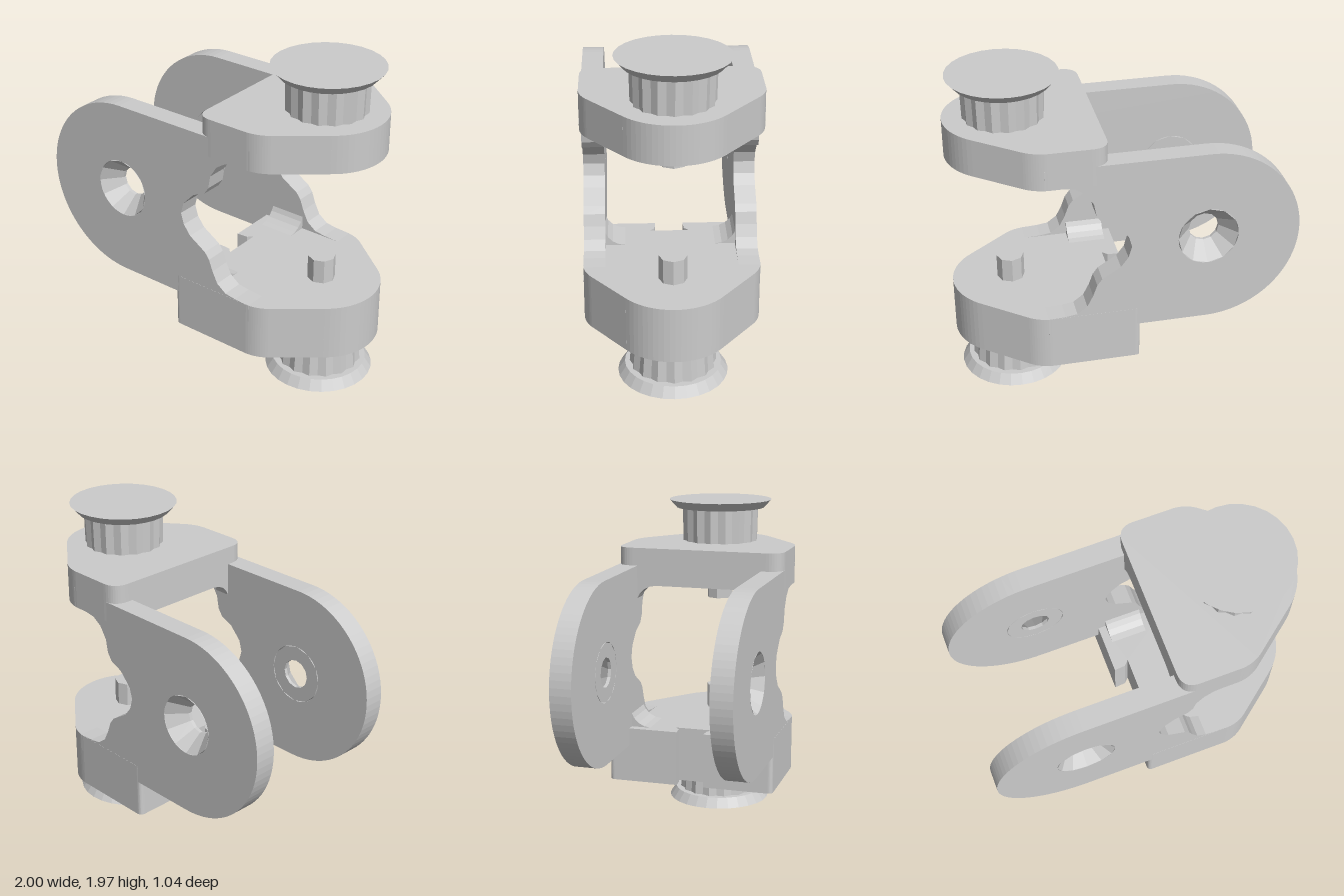
import * as THREE from 'three';

const material = new THREE.MeshStandardMaterial({ color: 0xcccccc, flatShading: true });
const KNOB_X = 0.645, HOLE_X = -0.45, HOLE_Y = 1.06;
const OUTER = 0.519, INNER = 0.39;

function addMesh(parent, name, geometry) {
  const mesh = new THREE.Mesh(geometry, material);
  mesh.name = name;
  parent.add(mesh);
  return mesh;
}

function extrude(shape, depth, curveSegments = 10) {
  return new THREE.ExtrudeGeometry(shape, { depth, bevelEnabled: false, curveSegments });
}

// Side plate: round rear end, scalloped front edge and a round hole
function plateShape() {
  const s = new THREE.Shape();
  s.moveTo(0.5, 1.6);
  s.lineTo(-0.45, 1.6);
  s.absarc(-0.45, 1.05, 0.55, Math.PI / 2, Math.PI * 1.5, false);
  s.lineTo(0.5, 0.5);
  const edge = [
    [0.5, 0.61], [0.4, 0.615], [0.33, 0.625], [0.27, 0.67], [0.235, 0.74], [0.21, 0.81],
    [0.18, 0.85], [0.07, 0.92], [0.025, 0.98], [0.005, 1.05], [0.025, 1.12], [0.1, 1.2],
    [0.18, 1.235], [0.21, 1.28], [0.225, 1.36], [0.27, 1.43], [0.33, 1.47], [0.4, 1.48], [0.5, 1.48]
  ];
  edge.forEach(([x, y]) => s.lineTo(x, y));
  s.closePath();
  const hole = new THREE.Path();
  hole.absarc(HOLE_X, HOLE_Y, 0.18, 0, Math.PI * 2, true);
  s.holes.push(hole);
  return s;
}

// Bracket outline seen from above, tapering to a rounded nose
function bracketShape(back, notched) {
  const s = new THREE.Shape();
  const r = notched ? 0.03 : 0.1;
  s.moveTo(back + r, -0.52);
  s.lineTo(0.48, -0.52);
  s.quadraticCurveTo(0.56, -0.515, 0.62, -0.465);
  s.lineTo(0.862, -0.275);
  s.absarc(0.655, 0, 0.344, -0.925, 0.925, false);
  s.lineTo(0.62, 0.465);
  s.quadraticCurveTo(0.56, 0.515, 0.48, 0.52);
  s.lineTo(back + r, 0.52);
  s.quadraticCurveTo(back, 0.52, back, 0.52 - r);
  if (notched) {
    [[back, 0.085], [0.02, 0.09], [0.05, 0.12], [0.05, -0.12], [0.02, -0.09], [back, -0.085]]
      .forEach(([x, z]) => s.lineTo(x, z));
  }
  s.lineTo(back, r - 0.52);
  s.quadraticCurveTo(back, -0.52, back + r, -0.52);
  return s;
}

function addBracket(parent, name, back, y0, y1, notched) {
  const g = extrude(bracketShape(back, notched), y1 - y0);
  g.rotateX(-Math.PI / 2);
  addMesh(parent, name, g).position.y = y0;
}

// Grip with shallow flutes, from y0 to y1
function grip(y0, y1, rTop, rBottom) {
  const g = new THREE.CylinderGeometry(rTop, rBottom, y1 - y0, 32, 1);
  const p = g.attributes.position;
  for (let i = 0; i < p.count; i++) {
    const a = Math.atan2(p.getZ(i), p.getX(i));
    const k = 1 + 0.03 * Math.cos(16 * a);
    p.setX(i, p.getX(i) * k);
    p.setZ(i, p.getZ(i) * k);
  }
  g.translate(0, (y0 + y1) / 2, 0);
  return g;
}

function disc(y0, y1, rTop, rBottom, sides) {
  return new THREE.CylinderGeometry(rTop, rBottom, y1 - y0, sides).translate(0, (y0 + y1) / 2, 0);
}

// Concave fillet in the corner between a side plate and a bracket
function addFillet(parent, side, y, up, x0, x1) {
  const s = new THREE.Shape();
  const zc = side * (INNER + 0.01), r = 0.13;
  s.moveTo(-zc, y - up * 0.01);
  s.lineTo(-zc + side * r, y - up * 0.01);
  for (let i = 0; i <= 5; i++) {
    const a = (i / 5) * Math.PI / 2;
    s.lineTo(-zc + side * r * (1 - Math.sin(a)), y + up * r * (1 - Math.cos(a)));
  }
  s.closePath();
  const g = extrude(s, x1 - x0);
  g.rotateY(Math.PI / 2);
  addMesh(parent, 'cornerFillet', g).position.x = x0;
}

export function createModel() {
  const model = new THREE.Group();
  model.name = 'clevisBracket';

  // Mirrored side plates with a countersunk hole
  const shape = plateShape();
  for (const side of [1, -1]) {
    const plate = new THREE.Group();
    plate.name = side > 0 ? 'frontPlate' : 'rearPlate';
    addMesh(plate, 'plate', extrude(shape, OUTER - INNER, 20)).position.z = side > 0 ? INNER : -OUTER;

    const depth = OUTER - INNER;
    const profile = [[0.18, 0], [0.18, depth], [0.09, 0.02], [0.09, 0], [0.18, 0]]
      .map(([x, y]) => new THREE.Vector2(x, y));
    const sink = addMesh(plate, 'countersink', new THREE.LatheGeometry(profile, 12));
    sink.material = material.clone();
    sink.material.side = THREE.DoubleSide;
    sink.rotation.x = side * Math.PI / 2;
    sink.position.set(HOLE_X, HOLE_Y, side * INNER);
    model.add(plate);

    addFillet(model, side, 1.48, -1, 0.13, 0.23);
    addFillet(model, side, 0.61, 1, 0.0, 0.23);
  }

  // Upper and lower brackets
  addBracket(model, 'upperBracket', 0.13, 1.48, 1.71, false);
  addBracket(model, 'lowerBracket', -0.05, 0.27, 0.61, true);

  // Upper knob with its pin
  const upper = new THREE.Group();
  upper.name = 'upperKnob';
  addMesh(upper, 'grip', grip(1.7, 1.93, 0.235, 0.23));
  addMesh(upper, 'cap', disc(1.92, 1.97, 0.325, 0.28, 28));
  addMesh(upper, 'pin', disc(1.34, 1.5, 0.083, 0.083, 8));

  // Lower knob with its pin
  const lower = new THREE.Group();
  lower.name = 'lowerKnob';
  addMesh(lower, 'grip', grip(0.05, 0.28, 0.23, 0.25));
  addMesh(lower, 'cap', disc(0, 0.06, 0.285, 0.325, 28));
  addMesh(lower, 'pin', disc(0.6, 0.76, 0.083, 0.083, 8));

  for (const knob of [upper, lower]) {
    knob.position.x = KNOB_X;
    model.add(knob);
  }
  return model;
}
